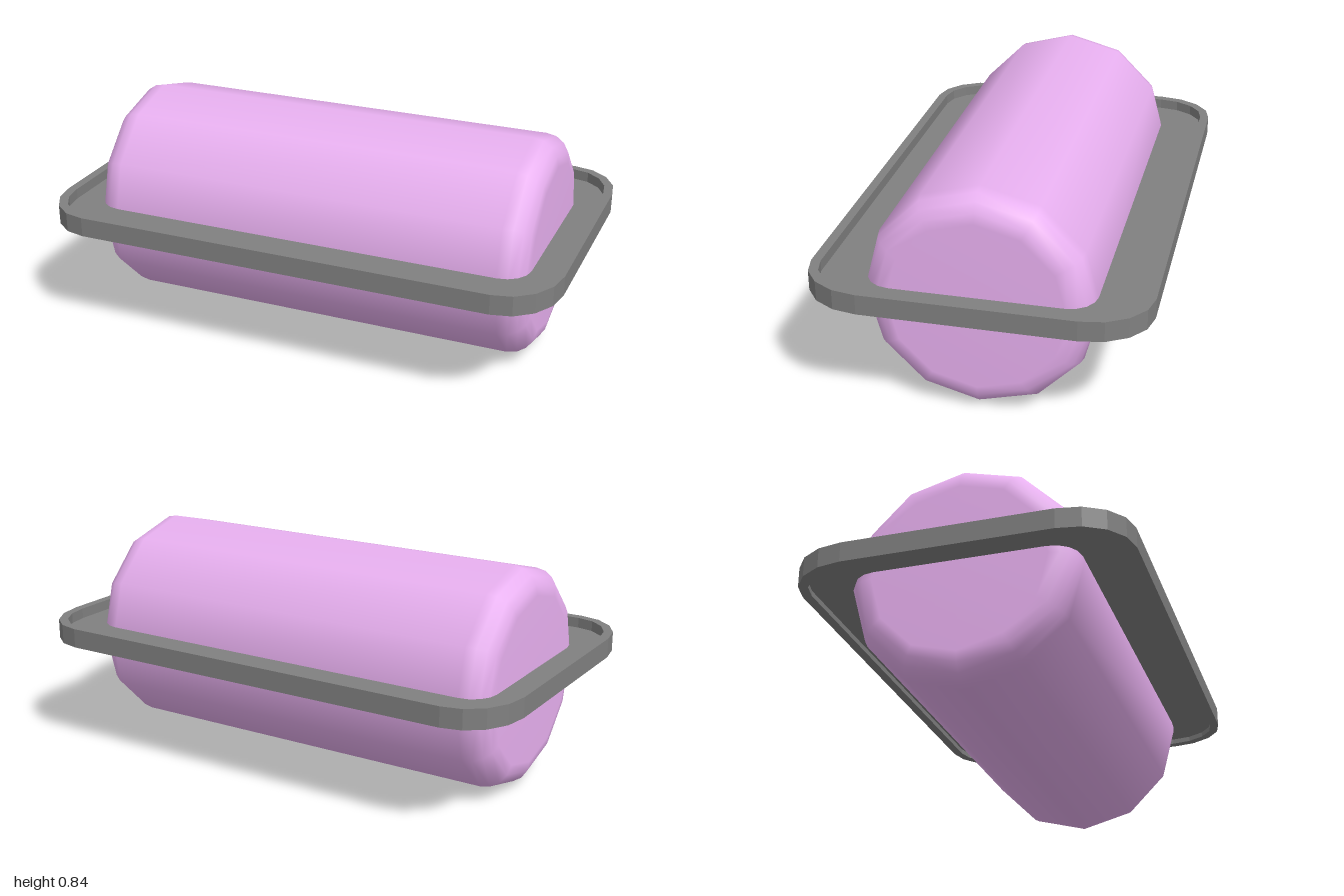
import * as THREE from 'three';

// Rounded rectangle outline with elliptical low-sided corners, as points
function roundedRect(hx, hz, rx, rz, steps = 4) {
  const points = [];
  const corners = [[1, 1], [-1, 1], [-1, -1], [1, -1]];
  corners.forEach(([sx, sz], q) => {
    for (let i = 0; i <= steps; i++) {
      const a = (q + i / steps) * Math.PI / 2;
      points.push(new THREE.Vector2(
        sx * (hx - rx) + rx * Math.cos(a),
        sz * (hz - rz) + rz * Math.sin(a)));
    }
  });
  return points;
}

// Extrude an outline upward from y0 to y1
function slab(shape, y0, y1) {
  const geometry = new THREE.ExtrudeGeometry(shape, { depth: y1 - y0, bevelEnabled: false });
  geometry.rotateX(-Math.PI / 2);
  geometry.translate(0, y0, 0);
  return geometry;
}

export function createModel() {
  const model = new THREE.Group();
  model.name = 'capsuleOnTray';
  const pink = new THREE.MeshStandardMaterial({ color: 0xe8b0f0 });
  const grey = new THREE.MeshStandardMaterial({ color: 0x808080 });

  const add = (name, geometry, material) => {
    const mesh = new THREE.Mesh(geometry, material);
    mesh.name = name;
    model.add(mesh);
  };

  // Twelve-sided body lying along x, with rounded end edges
  const R = 0.42, H = 0.865, B = 0.1, steps = 4;
  const profile = [new THREE.Vector2(0, -H)];
  for (let i = 0; i <= steps; i++) {
    const a = i / steps * Math.PI / 2;
    profile.push(new THREE.Vector2(R - B + B * Math.sin(a), -H + B - B * Math.cos(a)));
  }
  const half = profile.slice();
  half.reverse().forEach(p => profile.push(new THREE.Vector2(p.x, -p.y)));
  const body = new THREE.LatheGeometry(profile, 12);
  body.rotateZ(-Math.PI / 2);
  body.translate(0, R, 0);
  add('body', body, pink);

  // Raised rim around the tray
  const rim = new THREE.Shape(roundedRect(1, 0.61, 0.2, 0.23));
  const inner = roundedRect(0.965, 0.575, 0.165, 0.195);
  rim.holes.push(new THREE.Path(inner));
  add('trayRim', slab(rim, 0.425, 0.5), grey);

  // Recessed tray floor
  add('trayFloor', slab(new THREE.Shape(inner), 0.445, 0.46), grey);

  return model;
}
